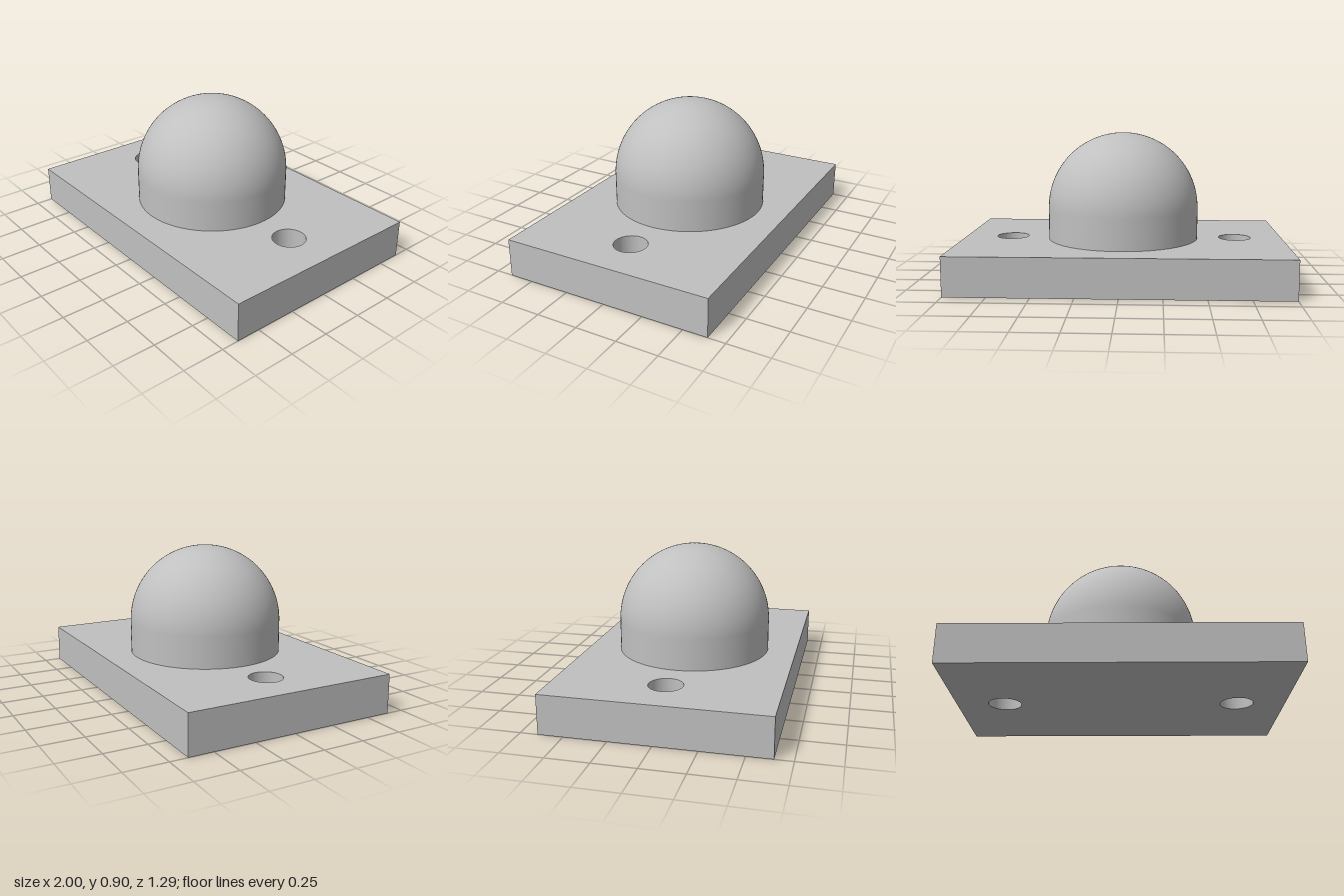
import * as THREE from 'three';
import { toCreasedNormals } from 'three/addons/utils/BufferGeometryUtils.js';

const WIDTH = 2, DEPTH = 1.294, THICK = 0.235;
const HOLE_X = 0.706, HOLE_R = 0.1;
const DOME_R = 0.47, DOME_TOP = 0.898;

export function createModel() {
  const group = new THREE.Group();
  group.name = 'domedMountingPlate';
  const grey = new THREE.MeshStandardMaterial({ color: 0xc0c0c0 });
  grey.name = 'lightGrey';

  // Rectangular base plate with two through holes
  const outline = new THREE.Shape([
    new THREE.Vector2(-WIDTH / 2, -DEPTH / 2),
    new THREE.Vector2(WIDTH / 2, -DEPTH / 2),
    new THREE.Vector2(WIDTH / 2, DEPTH / 2),
    new THREE.Vector2(-WIDTH / 2, DEPTH / 2),
  ]);
  for (const side of [-1, 1]) {
    outline.holes.push(new THREE.Path().absarc(side * HOLE_X, 0, HOLE_R, 0, Math.PI * 2, true));
  }
  const plateGeometry = new THREE.ExtrudeGeometry(outline, { depth: THICK, bevelEnabled: false, curveSegments: 48 });
  plateGeometry.rotateX(-Math.PI / 2);
  const plate = new THREE.Mesh(toCreasedNormals(plateGeometry, 0.6), grey);
  plate.name = 'basePlate';
  group.add(plate);

  // Short cylinder running smoothly into a hemisphere
  const springY = DOME_TOP - DOME_R;
  const profile = [new THREE.Vector2(DOME_R, THICK)];
  const steps = 32;
  for (let i = 0; i <= steps; i++) {
    const a = (i / steps) * Math.PI / 2;
    profile.push(new THREE.Vector2(i === steps ? 0 : DOME_R * Math.cos(a), springY + DOME_R * Math.sin(a)));
  }
  const dome = new THREE.Mesh(new THREE.LatheGeometry(profile, 96), grey);
  dome.name = 'dome';
  group.add(dome);

  return group;
}
